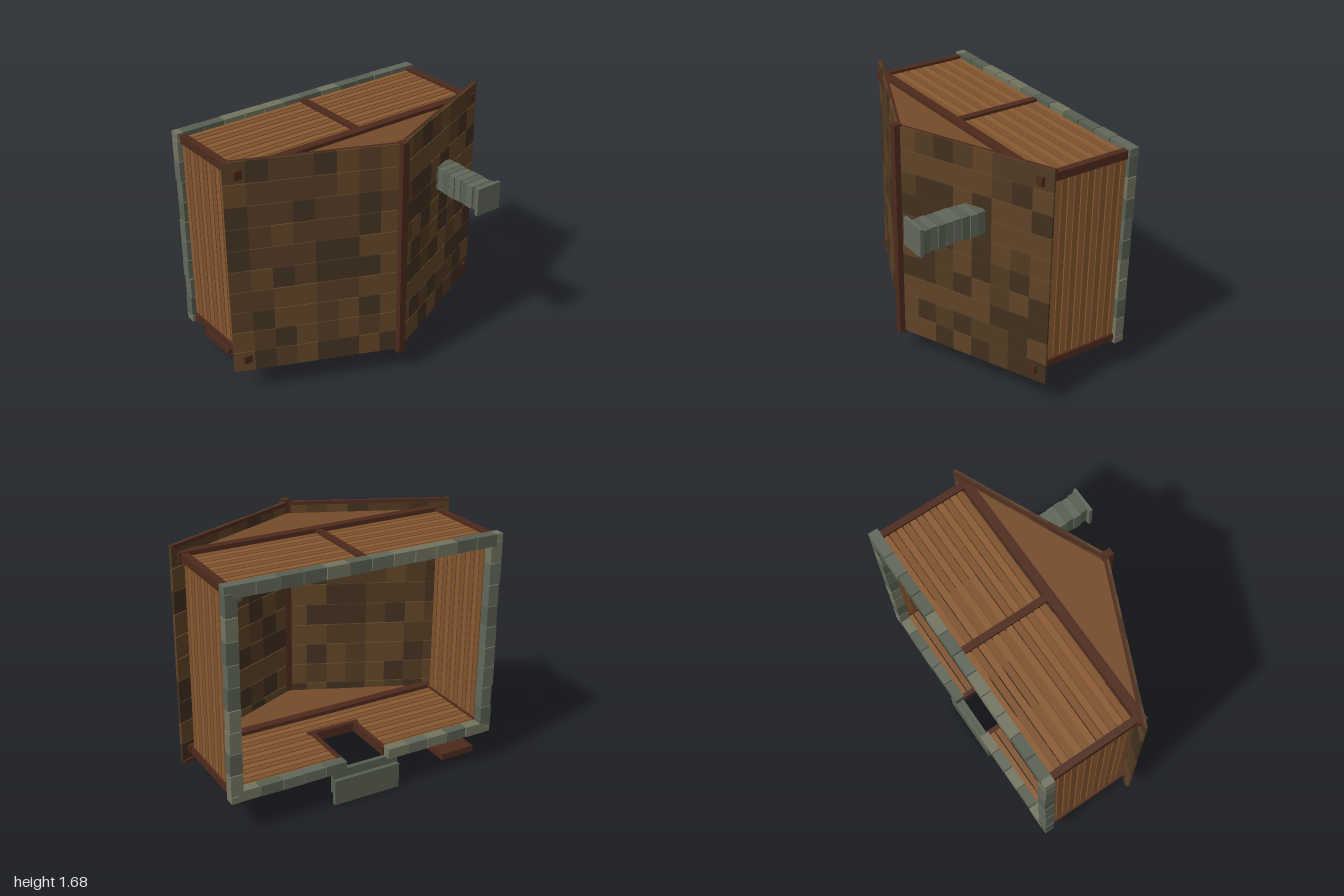
import * as THREE from 'three';

const mat = (color) => new THREE.MeshStandardMaterial({ color, flatShading: true });
const trim = mat(0x4d2a1c), gable = mat(0x744b29), cream = mat(0xa3955a);
const wood = [mat(0x8a5a31), mat(0x7e522d)];
const roofWood = [mat(0x42301f), mat(0x523b23), mat(0x5f4426)];
const stone = [mat(0x62675a), mat(0x73745f), mat(0x585f50)];

let seed = 7;
const rand = () => (seed = (seed * 16807) % 2147483647) / 2147483647;
const pick = (list) => list[Math.floor(rand() * list.length)];

function part(parent, name) {
  const g = new THREE.Group();
  g.name = name;
  parent.add(g);
  return g;
}

// Box given by its limits on each axis
function box(parent, name, material, [x0, x1], [y0, y1], [z0, z1]) {
  const m = new THREE.Mesh(new THREE.BoxGeometry(x1 - x0, y1 - y0, z1 - z0), material);
  m.position.set((x0 + x1) / 2, (y0 + y1) / 2, (z0 + z1) / 2);
  m.name = name;
  parent.add(m);
  return m;
}

// Rectangular frame lying flat, open along y
function frame(parent, name, material, [x0, x1], y, [z0, z1], t) {
  box(parent, name, material, [x0, x0 + t], y, [z0, z1]);
  box(parent, name, material, [x1 - t, x1], y, [z0, z1]);
  box(parent, name, material, [x0 + t, x1 - t], y, [z0, z0 + t]);
  box(parent, name, material, [x0 + t, x1 - t], y, [z1 - t, z1]);
}

const mirror = (s, a, b) => (s > 0 ? [a, b] : [-b, -a]);

function buildRoof(root) {
  const roof = part(root, 'roof');
  const rise = 0.44, angle = Math.atan(rise), n = 8;
  const len = Math.hypot(1, rise);
  for (const s of [-1, 1]) {
    const slope = part(roof, s > 0 ? 'leftSlope' : 'rightSlope');
    slope.position.set(0, 0, 0.447);
    slope.rotation.y = s * angle;
    // Courses of boards pieced from short lengths
    for (let r = 0; r < 10; r++) {
      const y = 0.178 + r * 0.1493;
      for (let i = 0; i < n; i++) {
        const x = mirror(s, (i * len) / n, ((i + 1) * len) / n);
        box(slope, 'roofBoard', pick(roofWood), x, [y, y + 0.1435], [-0.016, 0]);
      }
    }
    // Rafters under both ends
    for (const y of [0.18, 1.645])
      box(slope, 'rafter', trim, mirror(s, 0.01, len - 0.002), [y, y + 0.022], [-0.03, -0.014]);
  }
  box(roof, 'ridgeBeam', trim, [-0.024, 0.024], [0.16, 1.68], [0.42, 0.475]);
}

function buildWalls(root) {
  const walls = part(root, 'walls');
  const pitch = 0.0487, rows = 12;
  for (let i = 0; i < rows; i++) {
    const z = [-0.595 + i * pitch, -0.595 + (i + 1) * pitch - 0.008];
    const m = wood[i % 2];
    for (const s of [-1, 1]) {
      box(walls, 'sidePlank', m, mirror(s, 0.895, 0.917), [0.28, 1.56], z);
      // Entrance wall, cut away for the doorway
      box(walls, 'entrancePlank', m, mirror(s, i < 8 ? 0.15 : 0, 0.89), [0.255, 0.277], z);
    }
    box(walls, 'rearPlank', m, [-0.89, 0.89], [1.565, 1.587], z);
  }
  // Corner posts, tie beams and gables
  for (const [y0, y1] of [[0.24, 0.29], [1.55, 1.605]]) {
    for (const s of [-1, 1])
      box(walls, 'cornerPost', trim, mirror(s, 0.885, 0.93), [y0, y1], [-0.6, 0.02]);
    box(walls, 'tieBeam', trim, [-0.945, 0.945], [y0, y1 + 0.005], [-0.005, 0.055]);
    const tri = new THREE.Shape([[-0.86, -0.05], [0.86, -0.05], [0, -0.425]].map((p) => new THREE.Vector2(...p)));
    const g = new THREE.Mesh(new THREE.ExtrudeGeometry(tri, { depth: 0.02, bevelEnabled: false }), gable);
    g.rotation.x = -Math.PI / 2;
    g.position.y = (y0 + y1) / 2 - 0.01;
    g.name = 'gable';
    walls.add(g);
  }
  box(walls, 'rearPost', trim, [-0.024, 0.024], [1.55, 1.605], [-0.6, 0]);
}

function buildEntrance(root) {
  const entrance = part(root, 'entrance');
  // Door frame
  for (const s of [-1, 1])
    box(entrance, 'doorPost', trim, mirror(s, 0.145, 0.175), [0.225, 0.285], [-0.6, -0.19]);
  box(entrance, 'doorLintel', trim, [-0.19, 0.19], [0.22, 0.285], [-0.22, -0.185]);
  // Framed board over the door
  box(entrance, 'doorBoard', trim, [-0.25, 0.25], [0.185, 0.24], [-0.015, 0.115]);
  box(entrance, 'doorBoardPanel', gable, [-0.235, 0.235], [0.172, 0.187], [0, 0.1]);
  // Windows with glazing bars and a sill shelf
  for (const c of [-0.56, 0.56]) {
    const win = part(entrance, 'window');
    frame(win, 'windowFrame', trim, [c - 0.11, c + 0.11], [0.2, 0.256], [-0.34, -0.125], 0.025);
    box(win, 'glazingBar', trim, [c - 0.01, c + 0.01], [0.222, 0.256], [-0.33, -0.135]);
    box(win, 'glazingBar', trim, [c - 0.1, c + 0.1], [0.222, 0.256], [-0.243, -0.223]);
    box(win, 'windowSill', wood[0], [c - 0.12, c + 0.12], [0.15, 0.256], [-0.367, -0.342]);
  }
  // Steps
  box(entrance, 'upperStep', stone[2], [-0.237, 0.237], [0.075, 0.23], [-0.628, -0.598]);
  box(entrance, 'lowerStep', stone[2], [-0.237, 0.237], [0, 0.172], [-0.656, -0.626]);
  // Notice board beside the steps
  const notice = part(root, 'noticeBoard');
  box(notice, 'boardBack', trim, [-0.855, -0.607], [0.065, 0.11], [-0.61, -0.312]);
  box(notice, 'boardFace', cream, [-0.837, -0.622], [0.05, 0.067], [-0.557, -0.325]);
}

function buildFoundation(root) {
  const base = part(root, 'foundation');
  const z = () => [-0.66 + rand() * 0.005, -0.592 + rand() * 0.004];
  const w = 1.81 / 12, h = 1.3 / 9;
  for (let i = 0; i < 12; i++) {
    const x = [-0.905 + i * w + 0.003, -0.905 + (i + 1) * w - 0.003];
    box(base, 'rearStone', pick(stone), x, [1.54, 1.618], z());
    if (i !== 5 && i !== 6) box(base, 'entranceStone', pick(stone), x, [0.225, 0.295], z());
  }
  for (const s of [-1, 1]) {
    for (let i = 0; i < 9; i++)
      box(base, 'sideStone', pick(stone), mirror(s, 0.868, 0.943 + rand() * 0.008),
        [0.27 + i * h + 0.003, 0.27 + (i + 1) * h - 0.003], z());
    for (const y of [[0.225, 0.269], [1.572, 1.618]])
      box(base, 'cornerStone', pick(stone), mirror(s, 0.9, 0.948), y, z());
  }
}

function buildChimney(root) {
  const chimney = part(root, 'chimney');
  for (let i = 0; i < 8; i++) {
    const z = 0.2 + i * 0.0555, j = rand() * 0.01;
    box(chimney, 'chimneyStone', pick(stone), [0.45 + j, 0.602 + j], [1.132, 1.286], [z, z + 0.051]);
  }
  box(chimney, 'chimneyCap', stone[0], [0.432, 0.62], [1.118, 1.304], [0.637, 0.66]);
}

export function createModel() {
  const root = new THREE.Group();
  root.name = 'house';
  buildRoof(root);
  buildWalls(root);
  buildEntrance(root);
  buildFoundation(root);
  buildChimney(root);
  return root;
}
